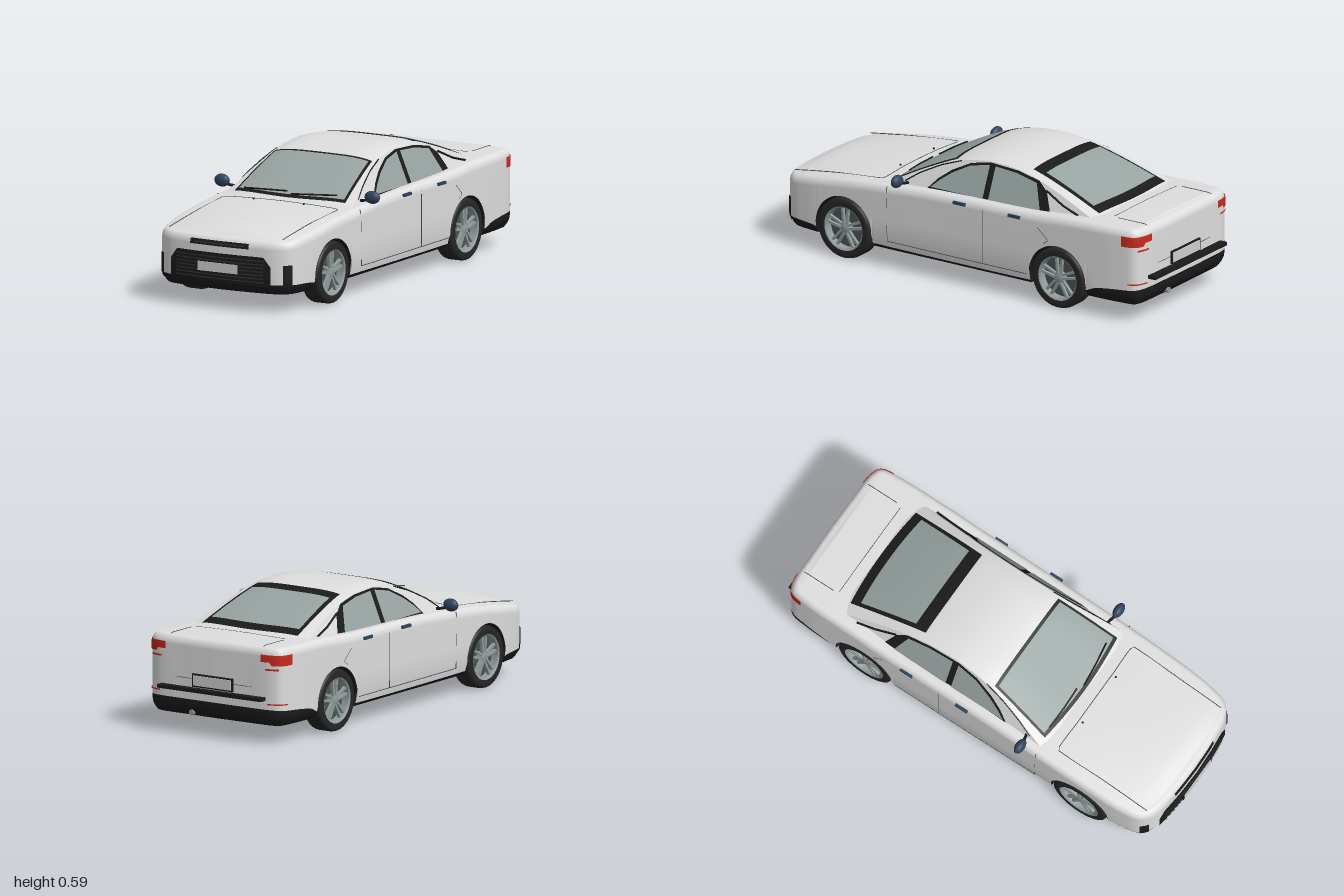
import * as THREE from 'three';

const paint = (name, color) => {
  const m = new THREE.MeshStandardMaterial({ color, side: THREE.DoubleSide });
  m.name = name;
  return m;
};
const M = {
  body: paint('body white', 0xdedede), black: paint('trim black', 0x1b1b1b), tyre: paint('tyre rubber', 0x262626),
  glass: paint('window glass', 0x98a4a2), rim: paint('alloy grey', 0x929c9c), dark: paint('shadow grey', 0x4a5252),
  red: paint('lamp red', 0xc8291e), blue: paint('mirror blue', 0x2f445c), plate: paint('plate white', 0xd0d0d0),
  slat: paint('slat grey', 0x353535),
};

// Smooth height curve through [z, value] pairs listed from front to back
function curve(p) {
  const slope = i => {
    const a = p[Math.max(i - 1, 0)], b = p[Math.min(i + 1, p.length - 1)];
    return (b[1] - a[1]) / (b[0] - a[0]);
  };
  return z => {
    if (z >= p[0][0]) return p[0][1];
    for (let i = 1; i < p.length; i++) if (z >= p[i][0]) {
      const [z0, a] = p[i - 1], [z1, b] = p[i], h = z1 - z0, t = (z - z0) / h;
      return a * (1 + 2 * t) * (1 - t) ** 2 + slope(i - 1) * h * t * (1 - t) ** 2 +
        b * t * t * (3 - 2 * t) + slope(i) * h * t * t * (t - 1);
    }
    return p[p.length - 1][1];
  };
}
const edgeY = curve([[1, .325], [.92, .327], [.8, .345], [.6, .372], [.4, .39], [.2, .404], [0, .411], [-.4, .42], [-.6, .432], [-.9, .438], [-.97, .438]]);
const midY = curve([[1, .325], [.98, .328], [.95, .342], [.9, .355], [.8, .371], [.6, .39], [.4, .402], [.2, .41], [0, .412], [-.4, .42], [-.6, .44], [-.92, .444], [-.97, .438]]);
const bandY = curve([[1, .13], [.8, .125], [.7, .105], [-.65, .105], [-.75, .14], [-.97, .16]]);
const cabinY = curve([[.43, .385], [.38, .412], [.24, .485], [.09, .552], [0, .576], [-.12, .588], [-.25, .58], [-.35, .562], [-.5, .517], [-.68, .452], [-.74, .43]]);
const BASE = .085, ARCH = .152, AXLES = [.617, -.535], WHEEL_Y = .14;
const lerp = THREE.MathUtils.lerp;

// Surface over a grid of points f(i, j)
function grid(nu, nv, f) {
  const pos = [], idx = [];
  for (let i = 0; i <= nu; i++) for (let j = 0; j <= nv; j++) pos.push(...f(i, j));
  for (let i = 0; i < nu; i++) for (let j = 0; j < nv; j++) {
    const a = i * (nv + 1) + j, b = a + nv + 1;
    idx.push(a, b, a + 1, b, b + 1, a + 1);
  }
  const g = new THREE.BufferGeometry();
  g.setAttribute('position', new THREE.Float32BufferAttribute(pos, 3));
  g.setIndex(idx);
  g.computeVertexNormals();
  return g;
}

// Half plan outline from nose centre to tail centre, with wheel arch columns inserted
function outline() {
  const pts = new THREE.CatmullRomCurve3([[0, .99], [.15, .983], [.28, .962], [.335, .92], [.36, .82], [.37, .6], [.372, 0],
    [.372, -.6], [.366, -.85], [.35, -.935], [.31, -.957], [.15, -.965], [0, -.967]].map(([x, z]) => new THREE.Vector3(x, 0, z))).getSpacedPoints(240);
  const cols = [], done = new Set();
  const add = (x, z, nx, nz, arch = 0) => cols.push({ x, z, nx, nz, top: edgeY(z), mid: midY(z), arch });
  pts.forEach((p, i) => {
    const c = AXLES.find(a => Math.abs(p.z - a) < ARCH + .003);
    if (c === undefined) {
      const a = pts[Math.max(i - 1, 0)], b = pts[Math.min(i + 1, 240)], l = Math.hypot(b.x - a.x, b.z - a.z);
      const end = i === 0 || i === 240;
      add(p.x, p.z, end ? 0 : (a.z - b.z) / l, end ? Math.sign(p.z) : (b.x - a.x) / l);
    } else if (!done.has(c)) {
      done.add(c);
      const xAt = z => pts.reduce((m, q) => (q.x > .33 && Math.abs(q.z - z) < Math.abs(m.z - z) ? q : m), p).x;
      add(xAt(c + ARCH), c + ARCH, 1, 0);
      for (let k = 0; k <= 28; k++) {
        const t = k / 28 * Math.PI, z = c + ARCH * Math.cos(t);
        add(xAt(z), z, 1, 0, WHEEL_Y + ARCH * Math.sin(t));
      }
      add(xAt(c - ARCH), c - ARCH, 1, 0);
    }
  });
  return cols;
}

export function createModel() {
  const car = new THREE.Group();
  car.name = 'car';
  const add = (name, geo, mat, x = 0, y = 0, z = 0, parent = car) => {
    const m = new THREE.Mesh(geo, mat);
    m.name = name;
    m.position.set(x, y, z);
    parent.add(m);
    return m;
  };
  const both = (name, geo, mat, x = 0, y = 0, z = 0) => {
    add(name + 'Left', geo, mat, x, y, z);
    add(name + 'Right', geo, mat, -x, y, z).scale.x = -1;
  };
  const box = (w, h, d) => new THREE.BoxGeometry(w, h, d);
  const line = (pts, r = .0022) => new THREE.TubeGeometry(
    new THREE.CatmullRomCurve3(pts.map(p => new THREE.Vector3(...p)), false, 'catmullrom', .1), pts.length * 6, r, 5);

  // Lower body shell
  const cols = outline(), n = cols.length - 1;
  const wall = (c, y, off = 0) => {
    const top = Math.min(1, Math.max(0, (y - c.top + .04) / .04)), low = Math.max(0, (.14 - y) / .055);
    const d = .03 * (1 - Math.sqrt(1 - top * top)) + .025 * low * low - off;
    return [Math.max(0, c.x - c.nx * d), y, c.z - c.nz * d];
  };
  both('bodySide', grid(n, 12, (i, j) => {
    const c = cols[i], lo = c.arch || bandY(c.z), mid = c.top - .04;
    return wall(c, j <= 4 ? lerp(lo, mid, j / 4) : mid + .04 * Math.sin((j - 4) / 8 * Math.PI / 2));
  }), M.body);
  both('bodyTop', grid(n, 8, (i, j) => {
    const c = cols[i], s = j / 8, [x, y, z] = wall(c, c.top);
    return [x * (1 - s), y + (c.mid - y) * (1 - (1 - s) ** 2), z];
  }), M.body);
  both('lowerSkirt', grid(n, 4, (i, j) => {
    const c = cols[i];
    return wall(c, c.arch || lerp(BASE, bandY(c.z), j / 4));
  }), M.black);
  add('floor', grid(n, 1, (i, j) => {
    const c = cols[i], [x, , z] = wall(c, BASE);
    return [(c.arch ? .265 : x) * (j * 2 - 1), BASE, z];
  }), M.black);
  add('chassis', box(.52, .2, 1.78), M.black, 0, .19, 0);

  // Cabin with flat leaning sides and a crowned roof
  const sideX = y => .315 - (y - .42) * .42;
  const roofY = (x, z) => cabinY(z) - .02 * Math.min(1, Math.abs(x) / sideX(cabinY(z) - .02)) ** 4;
  const cabZ = i => lerp(.43, -.74, i / 60);
  add('roof', grid(60, 24, (i, j) => {
    const z = cabZ(i), x = (j / 12 - 1) * sideX(cabinY(z) - .02);
    return [x, roofY(x, z), z];
  }), M.body);
  both('cabinSide', grid(60, 1, (i, j) => {
    const y = j ? cabinY(cabZ(i)) - .02 : .36;
    return [sideX(y), y, cabZ(i)];
  }), M.body);

  // Windscreen and rear window, each a pane over a black border
  const pane = (name, z0, z1, w0, w1, off, mat) => add(name, grid(16, 16, (i, j) => {
    const x = (j / 8 - 1) * lerp(w0, w1, i / 16), z = lerp(z0, z1, i / 16) - .25 * x * x * (1 - i / 16) * Math.sign(z0);
    return [x, roofY(x, z) + off, z];
  }), mat);
  pane('windscreenBorder', .398, .085, .285, .25, .003, M.black);
  pane('windscreen', .383, .1, .272, .24, .006, M.glass);
  pane('rearWindowBorder', -.7, -.305, .258, .222, .003, M.black);
  pane('rearWindow', -.655, -.365, .238, .208, .006, M.glass);

  // Side windows on a black surround
  const sidePane = (name, pts, off, mat) => {
    const g = new THREE.ShapeGeometry(new THREE.Shape(pts.map(p => new THREE.Vector2(...p))));
    const a = g.attributes.position;
    for (let i = 0; i < a.count; i++) a.setXYZ(i, sideX(a.getY(i)) + off, a.getY(i), a.getX(i));
    g.computeVertexNormals();
    both(name, g, mat);
  };
  sidePane('windowSurround', [[.2, .4], [.15, .455], [.09, .5], [0, .545], [-.1, .565], [-.25, .558], [-.37, .537], [-.42, .5], [-.47, .4]], .003, M.black);
  sidePane('frontSideWindow', [[.18, .413], [.14, .45], [.085, .49], [0, .535], [-.1, .555], [-.1, .413]], .006, M.glass);
  sidePane('rearSideWindow', [[-.13, .413], [-.13, .555], [-.25, .548], [-.36, .527], [-.41, .413]], .006, M.glass);
  both('quarterTrim', line([[.286, .505, -.42], [.303, .46, -.52], [.315, .435, -.61]], .005), M.black);
  both('pillarTrim', line([[.318, .412, .32], [.3, .46, .25], [.278, .51, .15], [.262, .545, .05]], .003), M.black);

  // Thin panels that follow the curved nose and tail
  const patch = (name, pick, y0, y1, mat, off = .004) => {
    const s = cols.filter(pick), at = (f, c) => (typeof f === 'function' ? f(c.x) : f);
    both(name, grid(s.length - 1, 6, (i, j) => wall(s[i], lerp(at(y0, s[i]), at(y1, s[i]), j / 6), off)), mat);
  };
  const front = (a, b) => c => c.z > .915 && c.x >= a && c.x <= b;
  const rear = (a, b, z = -.87) => c => c.z < z && c.x >= a && c.x <= b;
  patch('lowerGrille', front(0, .262), .12, x => (x < .222 ? .253 : .253 - (x - .222) * 1.3), M.black);
  for (let k = 0; k < 7; k++) patch('grilleSlat', front(0, .23), .137 + k * .016, .142 + k * .016, M.slat, .008);
  patch('upperGrille', front(0, .152), .284, .308, M.black);
  patch('upperGrilleSlat', front(0, .135), .293, .298, M.slat, .007);
  patch('cornerDuct', front(.3, .35), .11, x => (x < .338 ? .22 : .19), M.black);
  patch('tailLamp', rear(.25, 1), x => (x < .3 ? .375 : .36), .408, M.red);
  patch('lowerTailLamp', rear(.27, .345), .338, .346, M.red);
  patch('rearReflector', rear(.28, 1, -.9), .182, .188, M.red);

  // Number plates and rear bumper bar
  add('frontPlateFrame', box(.218, .05, .012), M.black, 0, .19, .996);
  add('frontPlate', box(.206, .042, .008), M.plate, 0, .19, 1);
  add('rearPlateFrame', box(.22, .06, .012), M.black, 0, .25, -.968);
  add('rearPlate', box(.204, .046, .008), M.plate, 0, .25, -.973);
  add('rearBumperBar', box(.56, .016, .045), M.black, 0, .208, -.9775);

  // Panel gaps
  const topPt = (x, z) => [x, edgeY(z) + (midY(z) - edgeY(z)) * (1 - (x / .345) ** 2) + .0005, z];
  both('bonnetGap', line([0, .15, .295].map(x => topPt(x, .455)).concat([.7, .85, .93].map(z => topPt(.293, z))), .002), M.dark);
  both('bootGap', line([topPt(0, -.755), topPt(.24, -.755)], .0016), M.dark);
  both('bootSideGap', line([topPt(.25, -.78), topPt(.25, -.93), [.25, .41, -.961], [.25, .26, -.962]], .0018), M.dark);
  add('bootLowerGap', line([[-.25, .255, -.962], [0, .255, -.967], [.25, .255, -.962]], .0018), M.dark);
  both('doorGap', line([[.366, .385, .385], [.3705, .36, .385], [.3705, .13, .38]], .002), M.dark);
  both('middleDoorGap', line([[.366, .395, -.135], [.372, .37, -.135], [.372, .13, -.135]], .002), M.dark);
  both('rearDoorGap', line([[.372, .36, -.43], [.372, .31, -.485], [.372, .29, -.46]], .002), M.dark);
  both('sillGap', line([[.3705, .13, .38], [.372, .13, 0], [.372, .13, -.37]], .0018), M.dark);

  // Handles, mirrors and wipers
  for (const z of [-.01, -.305]) both('doorHandle', box(.012, .013, .064), M.blue, .374, .387, z);
  both('mirror', new THREE.SphereGeometry(1, 24, 16).scale(.038, .029, .022), M.blue, .388, .43, .315);
  both('mirrorStalk', line([[.31, .405, .3], [.35, .412, .31], [.375, .42, .315]], .007), M.black);
  for (const x of [-.13, .13]) add('washerJet', new THREE.SphereGeometry(.005, 8, 6), M.black, x, .4, .475);
  for (const x of [-.24, .01]) add('wiper', line([0, .11, .22].map((d, i) => {
    const z = .385 - .008 * i - .25 * (x + d) ** 2;
    return [x + d, roofY(x + d, z) + .01, z];
  }), .004), M.black);

  // Exhaust
  add('muffler', box(.24, .035, .15), M.rim, .04, .083, -.755);
  add('exhaustPipe', new THREE.CylinderGeometry(.013, .013, .17, 16).rotateX(Math.PI / 2), M.rim, .12, .1, -.88);
  add('catalyst', box(.1, .02, .13), M.rim, 0, .078, .09);
  add('floorRail', box(.4, .012, .3), M.black, 0, .08, .1);

  // Wheels and arch liners
  const lathe = p => new THREE.LatheGeometry(p.map(q => new THREE.Vector2(...q)), 48).rotateZ(-Math.PI / 2);
  const tyre = lathe([[.1, -.045], [.128, -.045], [.137, -.04], [.14, -.03], [.14, .03], [.137, .04], [.128, .045], [.104, .045], [.1, .04], [.1, -.045]]);
  const barrel = lathe([[.094, -.04], [.094, .036], [.098, .042], [.106, .045]]);
  const disc = lathe([[0, .005], [.096, .005]]), hub = lathe([[0, .036], [.018, .036], [.024, .03], [.024, .005]]);
  for (const side of [1, -1]) for (const z of AXLES) {
    const w = new THREE.Group();
    w.name = (z > 0 ? 'front' : 'rear') + 'Wheel';
    w.position.set(side * .325, WHEEL_Y, z);
    w.scale.x = side;
    car.add(w);
    add('tyre', tyre, M.tyre, 0, 0, 0, w);
    add('rimBarrel', barrel, M.rim, 0, 0, 0, w);
    add('brakeDisc', disc, M.dark, 0, 0, 0, w);
    add('innerCover', disc, M.rim, -.03, 0, 0, w);
    add('hub', hub, M.rim, 0, 0, 0, w);
    for (let k = 0; k < 5; k++) for (const s of [-1, 1]) {
      const a = k / 5 * Math.PI * 2;
      add('spoke', box(.014, .086, .011).translate(0, .055, 0).rotateX(s * .1).translate(0, 0, s * .006).rotateX(a), M.rim, .027, 0, 0, w);
    }
    add('archLiner', new THREE.CylinderGeometry(.151, .151, .11, 32, 1, true, 0, Math.PI).rotateZ(Math.PI / 2), M.black, side * .312, WHEEL_Y, z);
  }
  return car;
}
